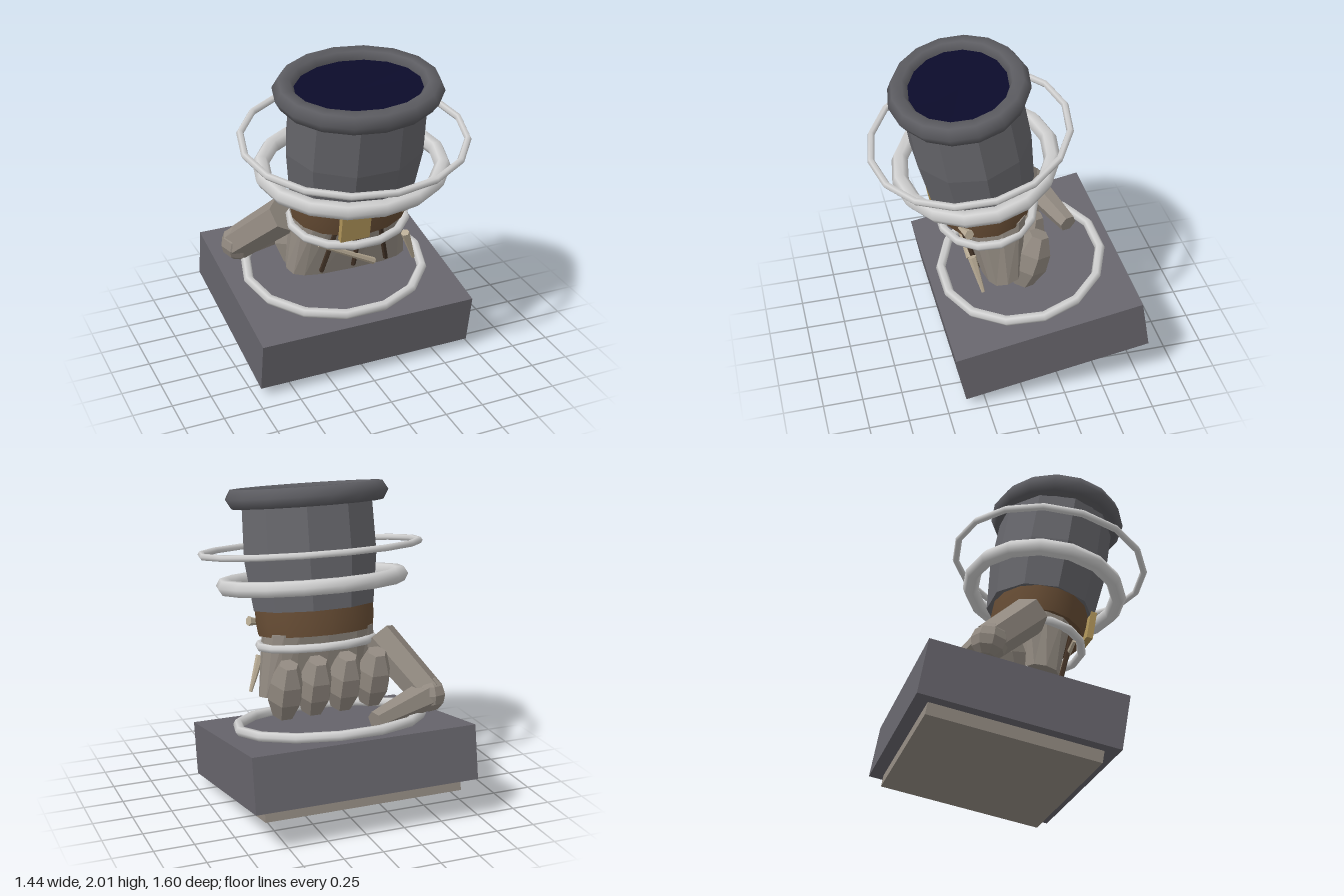
import * as THREE from 'three';

const paint = (name, color) => {
  const m = new THREE.MeshStandardMaterial({ color });
  m.name = name;
  return m;
};

export function createModel() {
  const stone = paint('stone grey', 0x67656c);
  const metal = paint('cuff grey', 0x66666b);
  const rimGrey = paint('rim grey', 0x5c5c61);
  const clay = paint('clay', 0x928a81);
  const silver = paint('silver', 0xd0d0d0);
  const leather = paint('leather', 0x664c34);
  const strapBrown = paint('strap brown', 0x423226);
  const gold = paint('gold', 0xb0955a);
  const bone = paint('bone', 0xb8ab95);
  const navy = paint('navy', 0x0b0b2a);

  const model = new THREE.Group();
  model.name = 'gauntletOnPedestal';
  // The whole piece leans forward; the local origin is the centre of the pedestal top
  const tilt = new THREE.Group();
  tilt.name = 'leaningStatue';
  tilt.position.set(0, 0.503, -0.153);
  tilt.rotation.x = THREE.MathUtils.degToRad(10);
  model.add(tilt);

  const AXIS = 0.143; // forward offset of the forearm axis

  function add(name, geometry, material, x = 0, y = 0, z = 0) {
    const mesh = new THREE.Mesh(geometry, material);
    mesh.name = name;
    mesh.position.set(x, y, z);
    tilt.add(mesh);
    return mesh;
  }

  function faceted(geometry) {
    const g = geometry.toNonIndexed();
    g.computeVertexNormals();
    return g;
  }

  // Oval ring with a hexagonal section of even thickness
  function ring(name, rx, rz, tube, sides, y, z, material) {
    const g = new THREE.TorusGeometry(rx, tube, 6, sides);
    const p = g.attributes.position;
    for (let i = 0; i < p.count; i++) {
      const a = Math.atan2(p.getY(i), p.getX(i));
      p.setY(i, p.getY(i) + (rz - rx) * Math.sin(a));
    }
    g.rotateX(Math.PI / 2);
    return add(name, g, material, 0, y, z);
  }

  // Turned shape squashed front to back
  function turned(profile, sides, squash) {
    const pts = profile.map(([r, y]) => new THREE.Vector2(r, y));
    const g = new THREE.LatheGeometry(pts, sides, Math.PI / 2);
    g.scale(1, 1, squash);
    return g;
  }

  // Tapered rod between two points
  function rod(name, a, b, ra, rb, sides, material) {
    const from = new THREE.Vector3(...a), to = new THREE.Vector3(...b);
    const dir = to.clone().sub(from);
    const g = faceted(new THREE.CylinderGeometry(rb, ra, dir.length(), sides));
    const mesh = add(name, g, material);
    mesh.position.copy(from).add(to).multiplyScalar(0.5);
    mesh.quaternion.setFromUnitVectors(new THREE.Vector3(0, 1, 0), dir.normalize());
    return mesh;
  }

  // Pedestal
  add('pedestal', new THREE.BoxGeometry(1.43, 0.34, 1.2), stone, 0, -0.17, 0);
  add('plinth', new THREE.BoxGeometry(1.27, 0.08, 1.04), clay, 0, -0.375, 0);

  // Floating rings
  ring('pedestalRing', 0.588, 0.52, 0.032, 14, 0.03, 0, silver);
  ring('wristRing', 0.372, 0.3, 0.028, 14, 0.51, AXIS, silver);
  ring('lowerCuffRing', 0.568, 0.47, 0.052, 16, 0.9, AXIS, silver);
  ring('upperCuffRing', 0.698, 0.608, 0.022, 16, 1.104, AXIS, silver);

  // Cuff, rim and dark opening
  const cuffProfile = [[0, 0.74], [0.4, 0.74], [0.44, 1.06], [0.43, 1.42], [0, 1.42]];
  add('cuff', faceted(turned(cuffProfile, 10, 0.84)), metal, 0, 0, AXIS);
  ring('cuffRim', 0.457, 0.36, 0.068, 16, 1.435, AXIS, rimGrey);
  add('cuffOpening', turned([[0.42, 1.45], [0, 1.43]], 16, 0.79), navy, 0, 0, AXIS);

  // Leather band and buckle
  add('wristBand', turned([[0, 0.58], [0.375, 0.58], [0.375, 0.58], [0.385, 0.66],
    [0.385, 0.75], [0.385, 0.75], [0, 0.75]], 16, 0.78), leather, 0, 0, AXIS);
  add('buckle', new THREE.BoxGeometry(0.19, 0.185, 0.04), gold, -0.095, 0.67, 0.445);

  // Palm: rounded block that widens and thins toward the knuckles
  const H = 0.4;
  const palm = new THREE.CylinderGeometry(1, 1, H, 16, 1);
  const pp = palm.attributes.position;
  const round = (v) => Math.sign(v) * Math.pow(Math.abs(v), 0.65);
  const lerp = THREE.MathUtils.lerp;
  for (let i = 0; i < pp.count; i++) {
    const t = pp.getY(i) / H + 0.5;
    pp.setX(i, round(pp.getX(i)) * lerp(0.4, 0.35, t));
    pp.setZ(i, round(pp.getZ(i)) * lerp(0.13, 0.21, t) + lerp(0.155, 0.11, t));
  }
  add('palm', faceted(palm), clay, 0, 0.397, 0);

  // Four curled fingers behind the palm
  const fingerProfile = [[0, 0], [0.07, 0], [0.115, 0.13], [0.108, 0.25], [0.06, 0.37], [0, 0.37]];
  [0.285, 0.1, -0.09, -0.28].forEach((x, i) => {
    const finger = add('finger' + (i + 1), faceted(turned(fingerProfile, 6, 1.05)), clay,
      x, 0.09 + 0.008 * i, 0.05 - 0.018 * i);
    finger.rotation.x = -0.46;
  });

  // Bent thumb resting on the pedestal
  const base = [-0.37, 0.51, 0.01], bend = [-0.58, 0.15, -0.24], tip = [-0.15, 0.06, -0.38];
  rod('thumbBase', base, bend, 0.12, 0.11, 6, clay);
  add('thumbJoint', faceted(new THREE.SphereGeometry(0.112, 8, 6)), clay, ...bend);
  rod('thumbTip', bend, tip, 0.1, 0.06, 6, clay);

  // Hanging straps
  [[-0.165, -0.225], [0, -0.01], [0.13, 0.215]].forEach(([x0, x1], i) =>
    rod('strap' + (i + 1), [x0, 0.56, 0.335], [x1, 0.24, 0.3], 0.016, 0.016, 5, strapBrown));

  // Bone charms
  rod('crossedBone', [-0.27, 0.48, 0.33], [0.12, 0.255, 0.325], 0.013, 0.022, 6, bone);
  rod('hangingBone', [0.32, 0.43, 0.325], [0.405, 0.206, 0.315], 0.028, 0.011, 6, bone);
  rod('bandTooth', [0.26, 0.635, 0.355], [0.385, 0.66, 0.313], 0.008, 0.032, 6, bone);

  return model;
}
